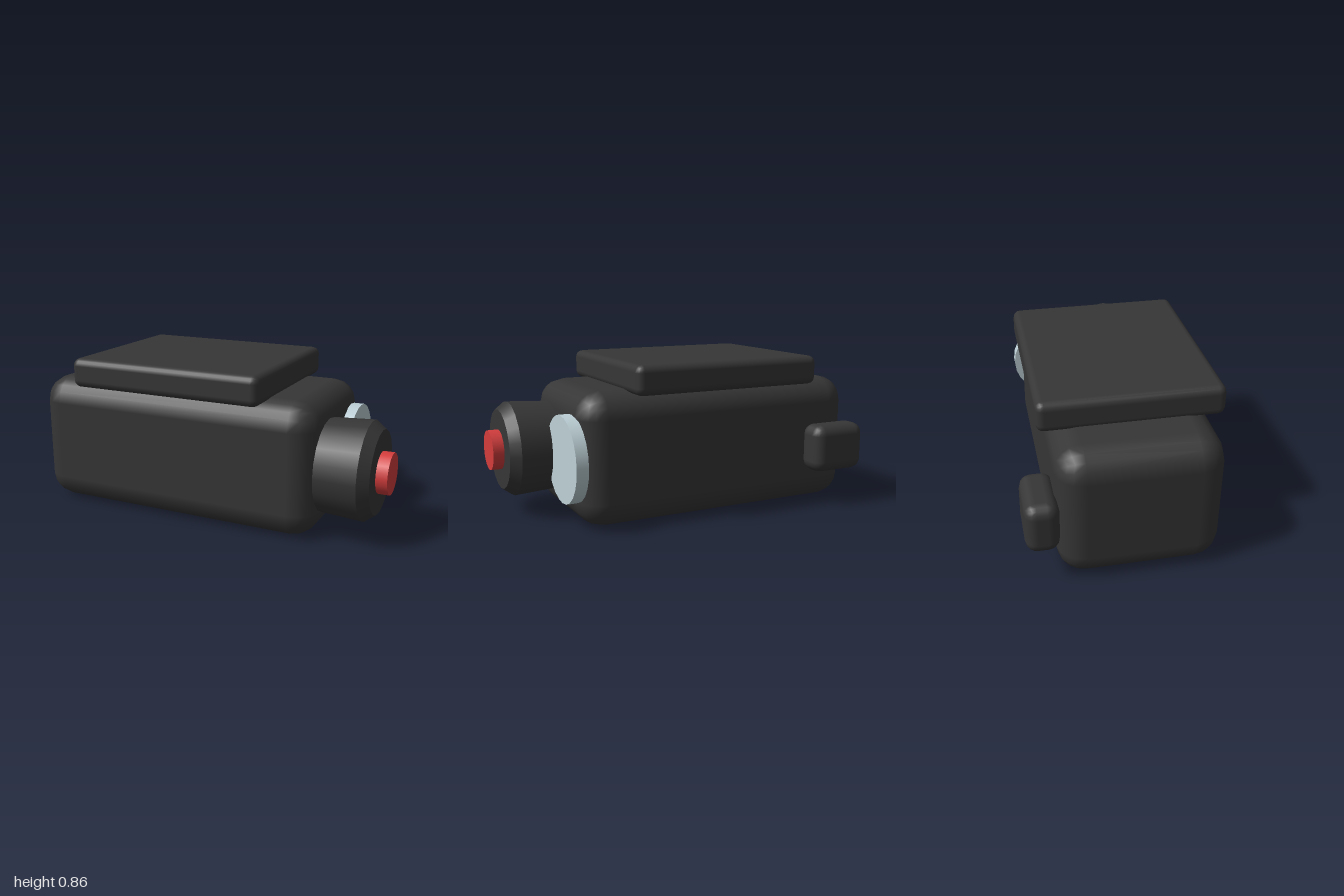
import * as THREE from 'three';
import { RoundedBoxGeometry } from 'three/addons/geometries/RoundedBoxGeometry.js';

const material = (name, color) => {
  const m = new THREE.MeshStandardMaterial({ color });
  m.name = name;
  return m;
};

export function createModel() {
  const model = new THREE.Group();
  model.name = 'camera';
  const black = material('black casing', 0x363636);
  const red = material('red lens', 0xd43d3d);
  const glass = material('pale glass', 0xbdd0d6);

  // Rounded box given by its limits on each axis
  const block = (name, [x0, x1], [y0, y1], [z0, z1], radius) => {
    const geometry = new RoundedBoxGeometry(x1 - x0, y1 - y0, z1 - z0, 2, radius);
    const mesh = new THREE.Mesh(geometry, black);
    mesh.name = name;
    mesh.position.set((x0 + x1) / 2, (y0 + y1) / 2, (z0 + z1) / 2);
    model.add(mesh);
  };

  // Round part lying along x, from radius r0 at x0 to r1 at x1
  const round = (name, mat, x0, x1, r0, r1, z, sides = 20, open = false) => {
    const geometry = new THREE.CylinderGeometry(r1, r0, x1 - x0, sides, 1, open);
    geometry.rotateZ(-Math.PI / 2);
    const mesh = new THREE.Mesh(geometry, mat);
    mesh.name = name;
    mesh.position.set((x0 + x1) / 2, 0.363, z);
    model.add(mesh);
  };

  // Casing, top cover and rear knob
  block('body', [-1, 0.66], [0, 0.72], [-0.365, 0.465], 0.14);
  block('topCover', [-0.72, 0.385], [0.7, 0.86], [-0.42, 0.52], 0.04);
  block('rearKnob', [-1, -0.67], [0.2, 0.47], [-0.52, -0.35], 0.06);

  // Lens barrel with a chamfered rim and a red centre
  round('lensBarrel', black, 0.66, 0.885, 0.25, 0.263, 0.215);
  round('lensRim', black, 0.885, 0.94, 0.263, 0.222, 0.215);
  round('lensCentre', red, 0.93, 1, 0.11, 0.11, 0.215);

  // Glass disc beside the lens
  round('glassDisc', glass, 0.65, 0.715, 0.235, 0.235, -0.172, 24);

  return model;
}
